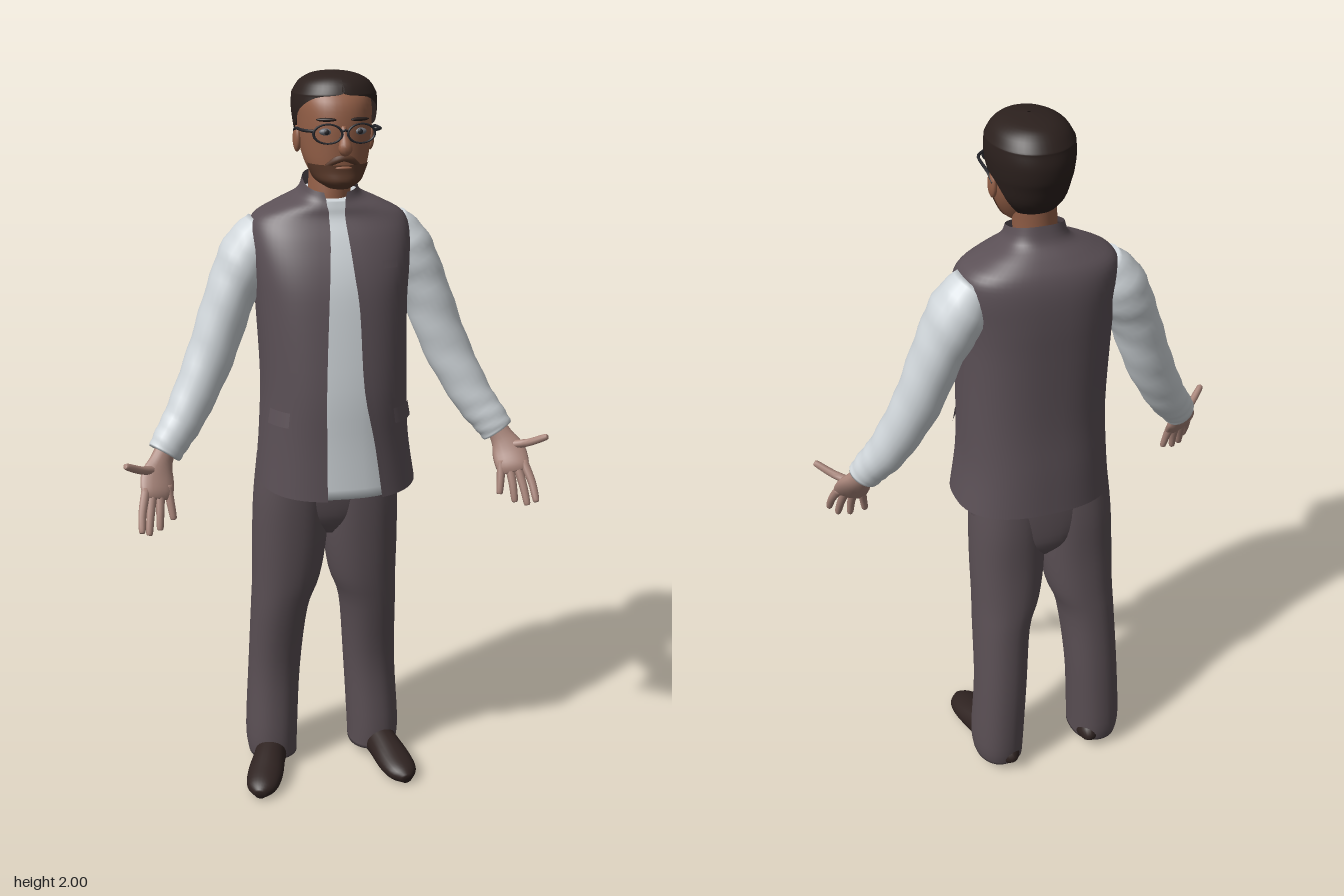
import * as THREE from 'three';
import { mergeVertices } from 'three/addons/utils/BufferGeometryUtils.js';

const PI = Math.PI;
const mat = (name, color) => {
  const m = new THREE.MeshStandardMaterial({ color, side: THREE.DoubleSide });
  m.name = name;
  return m;
};

// Smooth resampling of rows of numbers (Catmull-Rom on every column)
function smooth(rows, n = 4) {
  const out = [], at = (i) => rows[Math.min(Math.max(i, 0), rows.length - 1)];
  for (let i = 0; i < rows.length - 1; i++) {
    for (let k = 0; k < n; k++) {
      const t = k / n;
      out.push(at(i).map((p1, c) => {
        const p0 = at(i - 1)[c], p2 = at(i + 1)[c], p3 = at(i + 2)[c];
        return 0.5 * (2 * p1 + (p2 - p0) * t + (2 * p0 - 5 * p1 + 4 * p2 - p3) * t * t
          + (3 * p1 - p0 - 3 * p2 + p3) * t * t * t);
      }));
    }
  }
  out.push(rows[rows.length - 1]);
  return out;
}

// Skin over a list of point rings
function skin(rings, cap) {
  if (cap) {
    const mid = (r) => {
      const c = r.reduce((s, p) => s.add(p), new THREE.Vector3()).divideScalar(r.length);
      return r.map(() => c);
    };
    rings = [mid(rings[0]), ...rings, mid(rings[rings.length - 1])];
  }
  const w = rings[0].length, idx = [];
  for (let i = 0; i < rings.length - 1; i++) {
    for (let j = 0; j < w - 1; j++) {
      const a = i * w + j, d = a + w;
      idx.push(a, a + 1, d, a + 1, d + 1, d);
    }
  }
  let g = new THREE.BufferGeometry().setFromPoints(rings.flat());
  g.setIndex(idx);
  g = mergeVertices(g, 1e-5);
  g.computeVertexNormals();
  return g;
}

// Level rings, bottom to top: [y, cx, cz, rx, rFront, rBack, angle0, angle1, tilt]; angle 0 is the front
function rings(rows, { p = 1, seg = 40, cap = false, n = 4 } = {}) {
  const pw = (v) => Math.sign(v) * Math.abs(v) ** p;
  return skin(smooth(rows, n).map(([y, cx, cz, rx, rf, rb, t0 = -PI, t1 = PI, tilt = 0]) =>
    Array.from({ length: seg + 1 }, (_, j) => {
      const t = t0 + (t1 - t0) * j / seg, c = Math.cos(t);
      const z = cz + (c > 0 ? rf : rb) * pw(c);
      return new THREE.Vector3(cx + rx * pw(Math.sin(t)), y - tilt * z, z);
    })), cap);
}

// Limb along a path: [x, y, z, radiusU, radiusV], U lies along the hint
function limb(rows, hint, { seg = 16, n = 4, ripple = 0, floor = false } = {}) {
  const s = smooth(rows, n), P = s.map((r) => new THREE.Vector3(r[0], r[1], r[2]));
  return skin(s.map((r, i) => {
    const T = P[Math.min(i + 1, P.length - 1)].clone().sub(P[Math.max(i - 1, 0)]).normalize();
    const U = new THREE.Vector3(...hint).addScaledVector(T, -T.dot(new THREE.Vector3(...hint))).normalize();
    const V = T.clone().cross(U);
    return Array.from({ length: seg + 1 }, (_, j) => {
      const a = (j % seg) / seg * 2 * PI, k = 1 + ripple * Math.sin(i * 1.9 + 2 * a);
      const q = P[i].clone().addScaledVector(U, Math.cos(a) * r[3] * k).addScaledVector(V, Math.sin(a) * r[4] * k);
      if (floor) q.y = Math.max(q.y, 0);
      return q;
    });
  }), true);
}

export function createModel() {
  const M = {
    vest: mat('vest cloth', 0x5b5056), trousers: mat('trouser cloth', 0x5a4f54), shirt: mat('shirt cloth', 0xcfd5d9),
    face: mat('face skin', 0x935f47), hand: mat('hand skin', 0xa8857a), hair: mat('hair', 0x2b201d),
    shoe: mat('shoe leather', 0x2f2321), beard: mat('beard', 0x5c3b2b), frame: mat('glasses frame', 0x26262b),
    eye: mat('eyes', 0x6d7078),
  };
  const model = new THREE.Group();
  model.name = 'standingMan';
  const add = (name, geo, m, parent = model) => {
    const o = new THREE.Mesh(geo, m);
    o.name = name;
    parent.add(o);
    return o;
  };
  const ball = (name, m, pos, scale) => {
    const o = add(name, new THREE.SphereGeometry(1, 20, 14), m);
    o.position.set(...pos);
    o.scale.set(...scale);
    return o;
  };

  // Torso: [y, cx, cz, rx, rFront, rBack, opening right x, opening left x, tilt]
  const torso = [
    [0.92, 0.01, 0, 0.215, 0.195, 0.185, -0.05, 0.1, 0.1],
    [1.05, 0.005, 0, 0.2, 0.19, 0.18, -0.05, 0.08, 0.03],
    [1.2, 0.005, 0, 0.195, 0.188, 0.172, -0.05, 0.05, 0],
    [1.4, 0, 0, 0.2, 0.165, 0.175, -0.04, 0.042, 0],
    [1.5, 0, 0, 0.207, 0.142, 0.177, -0.032, 0.032, 0],
    [1.58, 0, -0.02, 0.213, 0.128, 0.153, -0.024, 0.025, 0],
    [1.63, 0, -0.035, 0.2, 0.112, 0.125, -0.021, 0.022, 0],
    [1.66, 0, -0.03, 0.145, 0.1, 0.105, -0.022, 0.022, 0.05],
    [1.685, 0, -0.022, 0.086, 0.086, 0.082, -0.025, 0.025, 0.15],
    [1.715, 0, -0.018, 0.07, 0.078, 0.074, -0.03, 0.03, 0.3],
  ];
  const P = 0.8;
  const edge = (x, cx, rx) => Math.asin((Math.abs(x - cx) / rx) ** (1 / P));
  add('vest', rings(torso.map(([y, cx, cz, rx, rf, rb, xr, xl, tilt]) =>
    [y, cx, cz, rx, rf, rb, edge(xl, cx, rx), 2 * PI - edge(xr, cx, rx), tilt]), { p: P, seg: 56 }), M.vest);
  add('shirtBody', rings(torso.slice(0, 9).map(([y, cx, cz, rx, rf, rb, , , tilt]) =>
    [y, cx, cz, rx * 0.94, rf * 0.94, rb * 0.94, -PI, PI, tilt]), { p: P, cap: true }), M.shirt);

  // Vest pockets
  for (const [name, t0, t1] of [['leftHipPocket', 0.62, 1.15], ['rightHipPocket', -1.2, -0.75]]) {
    add(name, rings([[1.1, 0.005, 0, 0.206, 0.196, 0.18, t0, t1], [1.14, 0.005, 0, 0.199, 0.191, 0.176, t0, t1]],
      { p: P, seg: 10 }), M.vest);
  }
  add('breastPocket', rings([[1.495, 0, 0, 0.211, 0.148, 0.18, 0.45, 0.72, -0.12], [1.515, 0, 0, 0.21, 0.141, 0.18, 0.45, 0.72, -0.12]],
    { p: P, seg: 8 }), M.vest);

  // Trousers
  add('trouserSeat', rings([
    [0.74, 0, -0.045, 0.03, 0.06, 0.06], [0.79, 0, -0.04, 0.13, 0.09, 0.095],
    [0.87, 0, -0.035, 0.19, 0.1, 0.105], [0.97, 0, -0.03, 0.18, 0.1, 0.105]], { p: 0.9, cap: true }), M.trousers);
  for (const [side, s, shift] of [['right', -1, 0], ['left', 1, -0.018]]) {
    const leg = [
      [0.03, 0.16, -0.08, 0.07, 0.08, 0.095], [0.1, 0.162, -0.085, 0.074, 0.09, 0.1],
      [0.3, 0.151, -0.09, 0.074, 0.088, 0.092], [0.5, 0.138, -0.065, 0.08, 0.098, 0.102],
      [0.6, 0.12, -0.055, 0.095, 0.105, 0.103], [0.72, 0.111, -0.045, 0.104, 0.107, 0.103],
      [0.85, 0.107, -0.035, 0.104, 0.105, 0.108], [0.97, 0.1, -0.03, 0.1, 0.1, 0.1]];
    add(side + 'TrouserLeg', rings(leg.map(([y, x, z, rx, rf, rb]) => [y, s * x + shift, z, rx, rf, rb]),
      { p: 0.9, cap: true }), M.trousers);
  }

  // Shoes, toes turned out
  for (const [side, x, turn] of [['right', -0.183, -0.34], ['left', 0.158, 0.18]]) {
    const shoe = add(side + 'Shoe', limb([
      [0, 0.028, -0.17, 0.015, 0.025], [0, 0.045, -0.15, 0.038, 0.05], [0, 0.05, -0.08, 0.045, 0.056],
      [0, 0.044, 0, 0.046, 0.048], [0, 0.033, 0.08, 0.051, 0.037], [0, 0.025, 0.14, 0.042, 0.027],
      [0, 0.018, 0.17, 0.015, 0.014]], [1, 0, 0], { seg: 24, floor: true }), M.shoe);
    shoe.position.x = x;
    shoe.rotation.y = turn;
  }

  // Arms and hands
  for (const [side, s] of [['left', 1], ['right', -1]]) {
    const mir = (rows) => rows.map(([x, ...r]) => [s * x, ...r]);
    add(side + 'Sleeve', limb(mir([
      [0.165, 1.6, -0.05, 0.06, 0.055], [0.21, 1.53, -0.05, 0.084, 0.076], [0.265, 1.42, -0.04, 0.076, 0.067],
      [0.325, 1.26, -0.022, 0.064, 0.064], [0.395, 1.12, 0.01, 0.056, 0.056], [0.44, 1.055, 0.035, 0.047, 0.05],
      [0.463, 1.02, 0.047, 0.04, 0.046]]), [0, 0, 1], { seg: 24, n: 5, ripple: 0.025 }), M.shirt);
    const hand = new THREE.Group();
    hand.name = side + 'Hand';
    model.add(hand);
    add(side + 'Palm', limb(mir([
      [0.45, 1.045, 0.04, 0.028, 0.022], [0.472, 1.005, 0.058, 0.032, 0.022], [0.486, 0.97, 0.08, 0.046, 0.02],
      [0.491, 0.935, 0.105, 0.046, 0.017], [0.494, 0.918, 0.114, 0.036, 0.011]]), [s * 0.9, 0, 0.35]), M.hand, hand);
    const digits = {
      Index: [[0.52, 0.945, 0.11], [0.535, 0.895, 0.145], [0.54, 0.852, 0.17]],
      Middle: [[0.502, 0.94, 0.107], [0.514, 0.88, 0.137], [0.52, 0.838, 0.155]],
      Ring: [[0.482, 0.94, 0.1], [0.487, 0.885, 0.125], [0.49, 0.843, 0.137]],
      Little: [[0.463, 0.945, 0.092], [0.457, 0.9, 0.108], [0.452, 0.862, 0.118]],
      Thumb: [[0.49, 0.985, 0.075], [0.53, 0.998, 0.108], [0.57, 1.022, 0.14]],
    };
    for (const [name, [a, b, c]] of Object.entries(digits)) {
      const tip = c.map((v, i) => v + (c[i] - b[i]) * 0.12);
      add(side + name + 'Finger', limb(mir([[...a, 0.013, 0.013], [...b, 0.011, 0.011], [...c, 0.009, 0.009],
        [...tip, 0.003, 0.003]]), [s * 0.9, 0, 0.35], { seg: 10 }), M.hand, hand);
    }
  }

  // Neck and head
  const X = 0.008;
  add('neck', rings([[1.62, 0, -0.03, 0.06, 0.07, 0.06], [1.69, 0, -0.025, 0.056, 0.065, 0.058],
    [1.8, X, -0.03, 0.056, 0.06, 0.058]]), M.face);
  add('head', rings([
    [1.715, X, 0.05, 0.03, 0.04, 0.04], [1.73, X, 0.04, 0.055, 0.067, 0.07], [1.77, X, 0.02, 0.078, 0.093, 0.085],
    [1.82, X, 0, 0.09, 0.116, 0.095], [1.88, X, 0, 0.094, 0.116, 0.11], [1.93, X, 0, 0.092, 0.104, 0.118],
    [1.965, X, 0, 0.07, 0.07, 0.09], [1.985, X, 0, 0.02, 0.02, 0.02]], { p: 0.92, cap: true }), M.face);
  add('nose', limb([[X, 1.87, 0.11, 0.008, 0.008], [X, 1.845, 0.122, 0.011, 0.012], [X, 1.82, 0.134, 0.018, 0.016],
    [X, 1.808, 0.128, 0.013, 0.012]], [1, 0, 0]), M.face);
  add('beard', rings([
    [1.712, X, 0.05, 0.03, 0.048, 0.03, -1.9, 1.9], [1.73, X, 0.04, 0.058, 0.078, 0.06, -1.7, 1.7],
    [1.755, X, 0.025, 0.074, 0.092, 0.08, -1.45, 1.45], [1.775, X, 0.018, 0.083, 0.1, 0.09, -1.3, 1.3]], { p: 0.92 }), M.beard);
  add('moustache', limb([[X - 0.042, 1.773, 0.1, 0.005, 0.004], [X - 0.02, 1.788, 0.114, 0.009, 0.007],
    [X, 1.793, 0.119, 0.008, 0.007], [X + 0.02, 1.788, 0.114, 0.009, 0.007], [X + 0.042, 1.773, 0.1, 0.005, 0.004]],
  [0, 1, 0], { seg: 10 }), M.beard);
  ball('lowerLip', M.face, [X, 1.768, 0.114], [0.022, 0.005, 0.008]);

  // Hair cap, open around the face
  const hair = [
    [1.755, 0, 0.05, 0.05, 0.066, 2.3], [1.8, -0.01, 0.082, 0.06, 0.1, 2.05], [1.85, 0, 0.1, 0.11, 0.13, 1.8],
    [1.875, 0, 0.105, 0.115, 0.138, 1.4], [1.91, 0, 0.109, 0.118, 0.141, 1.15], [1.94, 0, 0.108, 0.113, 0.136, 0.65],
    [1.95, 0, 0.105, 0.112, 0.133, 0.02], [1.975, 0, 0.088, 0.098, 0.112, 0], [1.992, 0, 0.055, 0.07, 0.08, 0],
    [2, 0, 0.004, 0.004, 0.004, 0]];
  add('hair', rings(hair.map(([y, z, rx, rf, rb, a]) => [y, X, z, rx, rf, rb, a, 2 * PI - a]), { p: 0.95, seg: 48 }), M.hair);

  // Ears, eyes, brows and glasses
  for (const s of [1, -1]) {
    const side = s > 0 ? 'left' : 'right', x = X + s * 0.043;
    ball(side + 'Ear', M.face, [X + s * 0.096, 1.83, -0.005], [0.011, 0.034, 0.021]);
    ball(side + 'Eye', M.eye, [x, 1.858, 0.104], [0.018, 0.009, 0.01]);
    ball(side + 'Pupil', M.frame, [x, 1.858, 0.112], [0.007, 0.007, 0.004]);
    ball(side + 'Brow', M.hair, [x, 1.888, 0.107], [0.026, 0.005, 0.008]).rotation.y = s * 0.3;
    const rim = add(side + 'Rim', new THREE.TorusGeometry(0.036, 0.0035, 8, 32), M.frame);
    rim.position.set(x, 1.855, 0.126);
    rim.scale.y = 0.66;
    rim.rotation.y = s * 0.15;
    add(side + 'Temple', limb([[X + s * 0.078, 1.862, 0.12, 0.004, 0.004], [X + s * 0.1, 1.862, 0.09, 0.004, 0.004],
      [X + s * 0.103, 1.858, 0.01, 0.004, 0.004], [X + s * 0.101, 1.84, -0.02, 0.003, 0.003]], [0, 1, 0], { seg: 8 }), M.frame);
  }
  add('glassesBridge', limb([[X - 0.01, 1.86, 0.13, 0.003, 0.003], [X, 1.864, 0.133, 0.003, 0.003],
    [X + 0.01, 1.86, 0.13, 0.003, 0.003]], [0, 1, 0], { seg: 8 }), M.frame);

  return model;
}
